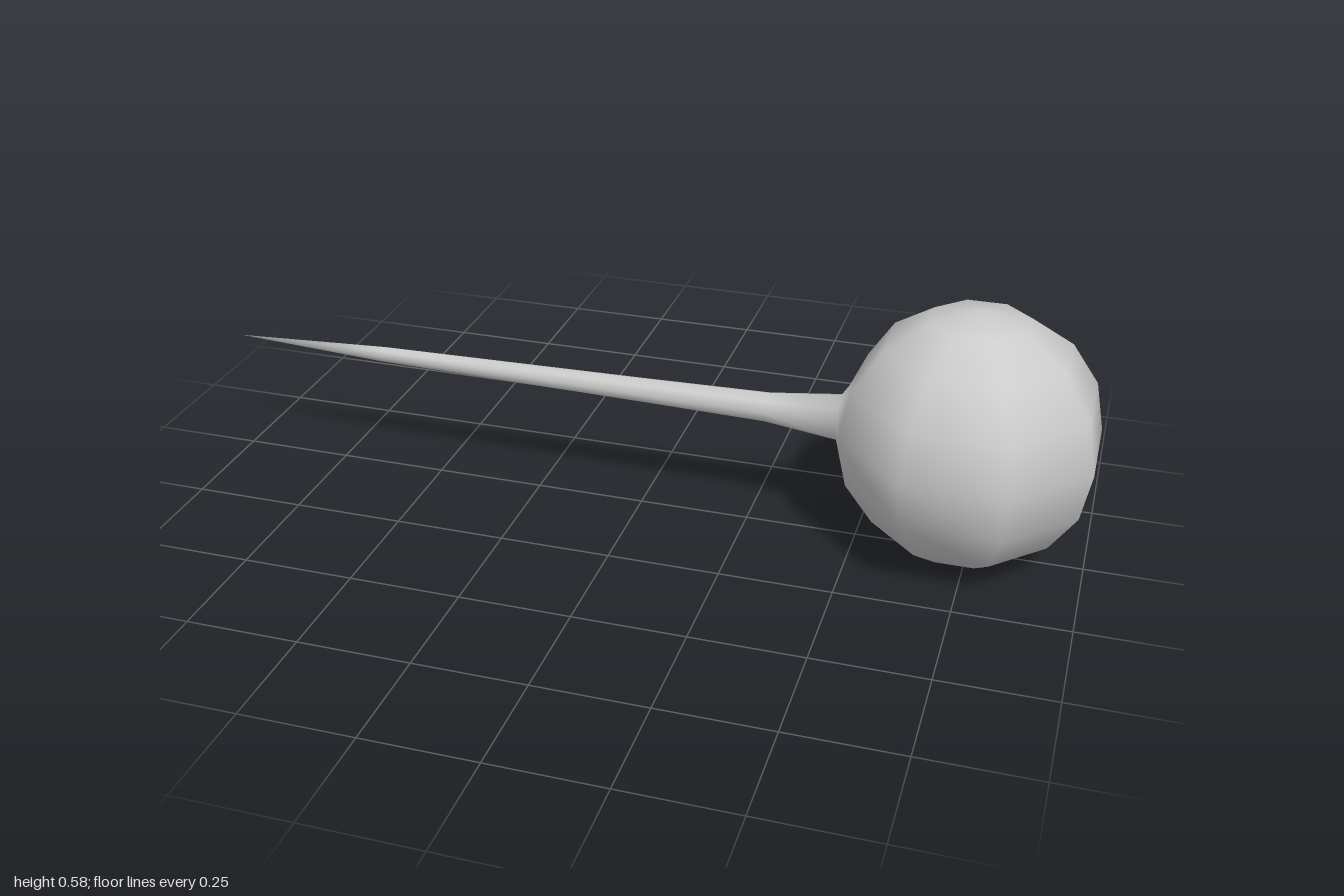
import * as THREE from 'three';
import { mergeGeometries, mergeVertices } from 'three/addons/utils/BufferGeometryUtils.js';

const R = 0.288, CENTER_X = 0.734, SIDES = 8;
const C = Math.cos(Math.PI / 8), S = Math.sin(Math.PI / 8);

// Faceted ball with the two faces nearest the needle removed
function ballGeometry() {
  const ball = new THREE.SphereGeometry(R, 8, 8).rotateY(Math.PI / 8);
  const pos = ball.attributes.position, old = ball.index.array, kept = [];
  for (let i = 0; i < old.length; i += 3) {
    const tri = [old[i], old[i + 1], old[i + 2]];
    const x = tri.reduce((sum, v) => sum + pos.getX(v), 0) / 3;
    if (x > -0.24) kept.push(...tri);
  }
  ball.setIndex(kept);
  ball.deleteAttribute('normal');
  ball.deleteAttribute('uv');
  return ball;
}

// Needle lofted from the opening in the ball, through a flared neck, to the tip
function needleGeometry() {
  const top = R * S;
  const rim = [[top, 0], [top, 1], [0, 1], [-top, 1], [-top, 0], [-top, -1], [0, -1], [top, -1]];
  const points = rim.map(([y, side]) => {
    const r = y === 0 ? R : R * C;
    return [-r * C, y, side * r * S];
  });
  // [x, radius] in the model's frame
  const profile = [[0.452, 0.053], [0.29, 0.034], [0, 0.028], [-0.63, 0.018], [-1, 0]];
  for (const [x, r] of profile) {
    for (let j = 0; j < SIDES; j++) {
      const a = (j / SIDES) * Math.PI * 2;
      points.push([x - CENTER_X, r * Math.cos(a), r * Math.sin(a)]);
    }
  }
  const index = [];
  for (let i = 0; i < profile.length; i++) {
    for (let j = 0; j < SIDES; j++) {
      const a = i * SIDES + j, b = i * SIDES + (j + 1) % SIDES;
      index.push(a, a + SIDES, b);
      if (i < profile.length - 1) index.push(b, a + SIDES, b + SIDES);
    }
  }
  const needle = new THREE.BufferGeometry();
  needle.setAttribute('position', new THREE.Float32BufferAttribute(points.flat(), 3));
  needle.setIndex(index);
  return needle;
}

export function createModel() {
  const group = new THREE.Group();
  group.name = 'ballHeadedPin';

  // Ball and needle share one smooth skin
  const geometry = mergeVertices(mergeGeometries([ballGeometry(), needleGeometry()]), 1e-4);
  geometry.computeVertexNormals();
  const pin = new THREE.Mesh(geometry, new THREE.MeshStandardMaterial({ color: 0xcccccc }));
  pin.name = 'ballAndNeedle';
  pin.position.set(CENTER_X, R, 0);
  group.add(pin);
  return group;
}
